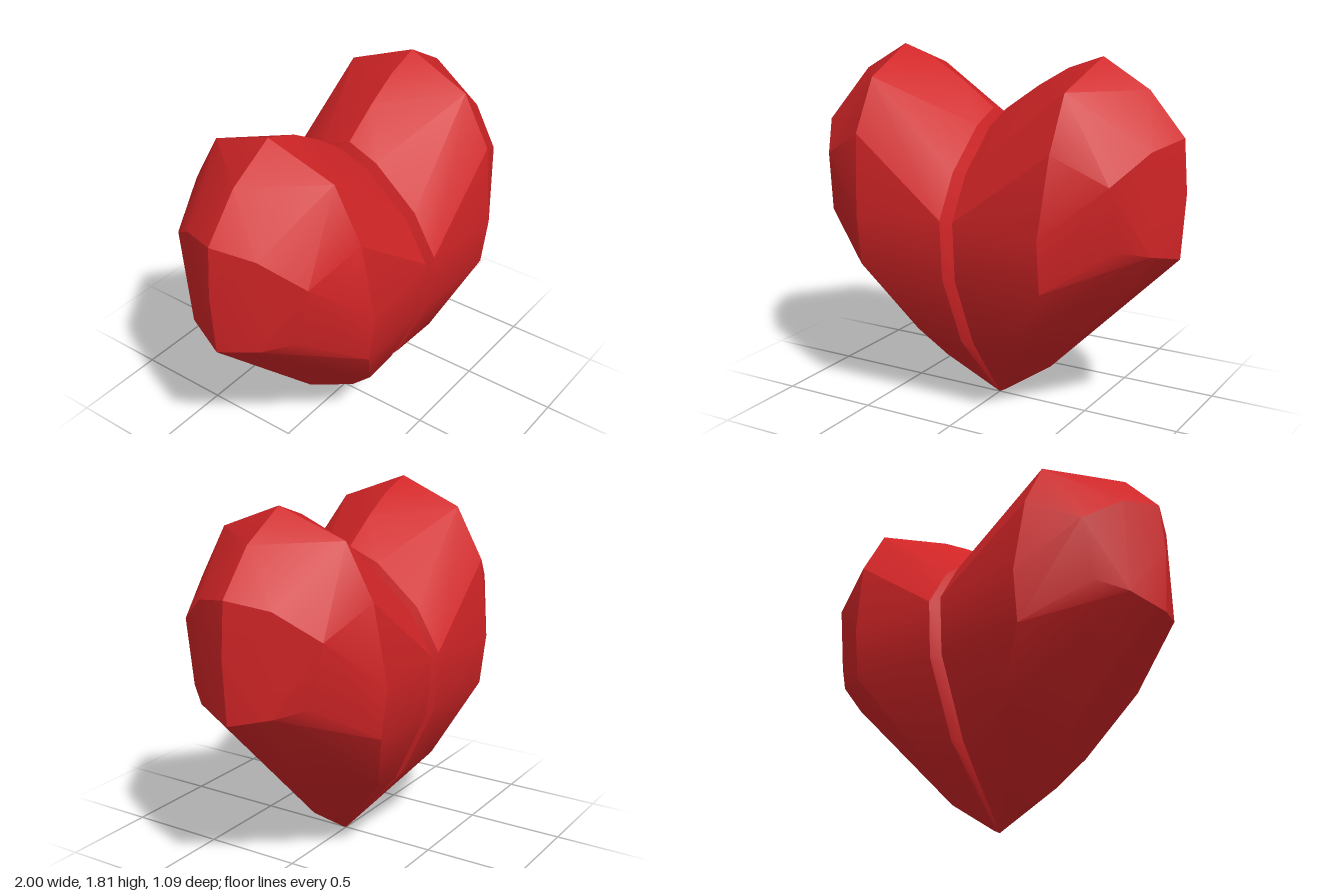
import * as THREE from 'three';
import { ConvexGeometry } from 'three/addons/geometries/ConvexGeometry.js';
import { toCreasedNormals } from 'three/addons/utils/BufferGeometryUtils.js';

// outline of one lobe in the middle plane: [x, y]
const RIM = [[0.3, 0.2], [0.98, 0.88], [1, 1.2], [0.98, 1.46], [0.8, 1.67],
  [0.56, 1.81], [0.38, 1.745], [0.22, 1.65]];

// edge beside the groove: [y, z]
const SEAM = [[0.02, 0], [0.2, 0.18], [0.38, 0.325], [0.755, 0.495], [1.05, 0.513],
  [1.26, 0.39], [1.455, 0.16], [1.52, 0]];

// facet corners on the lobe's face, used front and back: [x, y, z]
const FACE = [[0.53, 1.68, 0.34], [0.53, 1.42, 0.485], [0.5, 1.03, 0.543], [0.5, 0.77, 0.513],
  [0.78, 1.28, 0.385], [0.9, 1.42, 0.2], [0.91, 0.93, 0.2], [0.8, 0.97, 0.33],
  [0.27, 0.42, 0.36], [0.2, 0.24, 0.2]];

// one faceted half of the heart; side is +1 or -1
function lobe(side) {
  const points = [];
  const add = (x, y, z) => {
    points.push(new THREE.Vector3(side * x, y, z));
    if (z > 0) points.push(new THREE.Vector3(side * x, y, -z));
  };
  RIM.forEach(([x, y]) => add(x, y, 0));
  FACE.forEach((p) => add(...p));
  SEAM.forEach(([y, z]) => {
    add(0.036, y, z);
    // floor of the groove, drawn in towards the middle
    add(0, 0.75 + (y - 0.75) * (y > 0.75 ? 0.89 : 0.99), z * 0.865);
  });
  add(0, 0, 0);
  return toCreasedNormals(new ConvexGeometry(points), 0.4);
}

export function createModel() {
  const group = new THREE.Group();
  group.name = 'heart';
  const red = new THREE.MeshStandardMaterial({ color: 0xd02426 });
  red.name = 'red';
  for (const [name, side] of [['leftLobe', 1], ['rightLobe', -1]]) {
    const mesh = new THREE.Mesh(lobe(side), red);
    mesh.name = name;
    group.add(mesh);
  }
  return group;
}
